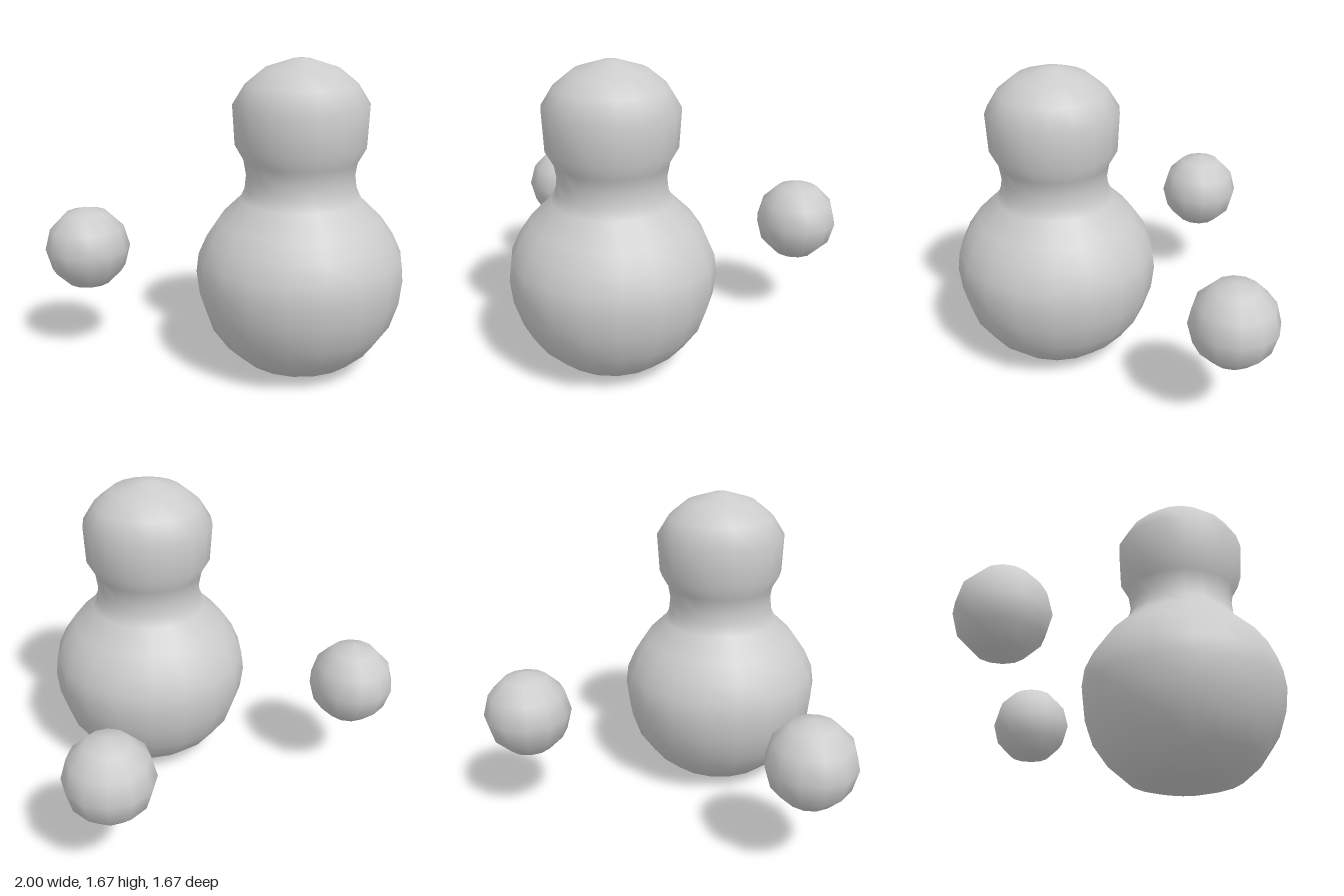
import * as THREE from 'three';

export function createModel() {
  const model = new THREE.Group();
  const material = new THREE.MeshStandardMaterial({ color: 0xcccccc });

  // Body and head: one smooth lathed surface with a pinched neck
  const profile = [
    [0, 0], [0.06, 0.003], [0.2, 0.028], [0.31, 0.06], [0.412, 0.15],
    [0.495, 0.27], [0.541, 0.41], [0.556, 0.54], [0.543, 0.64],
    [0.498, 0.74], [0.432, 0.837], [0.32, 0.945], [0.295, 1.0],
    [0.287, 1.07], [0.3, 1.15], [0.345, 1.23], [0.356, 1.44],
    [0.291, 1.545], [0.193, 1.625], [0.045, 1.673], [0, 1.675],
  ].map(([r, y]) => new THREE.Vector2(r, y));
  const body = new THREE.Mesh(new THREE.LatheGeometry(profile, 18, Math.PI / 2), material);
  body.name = 'bodyAndHead';
  body.position.z = 0.285;
  model.add(body);

  // Two floating balls behind the body
  const ballGeometry = new THREE.SphereGeometry(0.23, 12, 6);
  for (const [name, side] of [['leftBall', 1], ['rightBall', -1]]) {
    const ball = new THREE.Mesh(ballGeometry, material);
    ball.name = name;
    ball.position.set(side * 0.77, 0.62, -0.607);
    model.add(ball);
  }

  return model;
}
